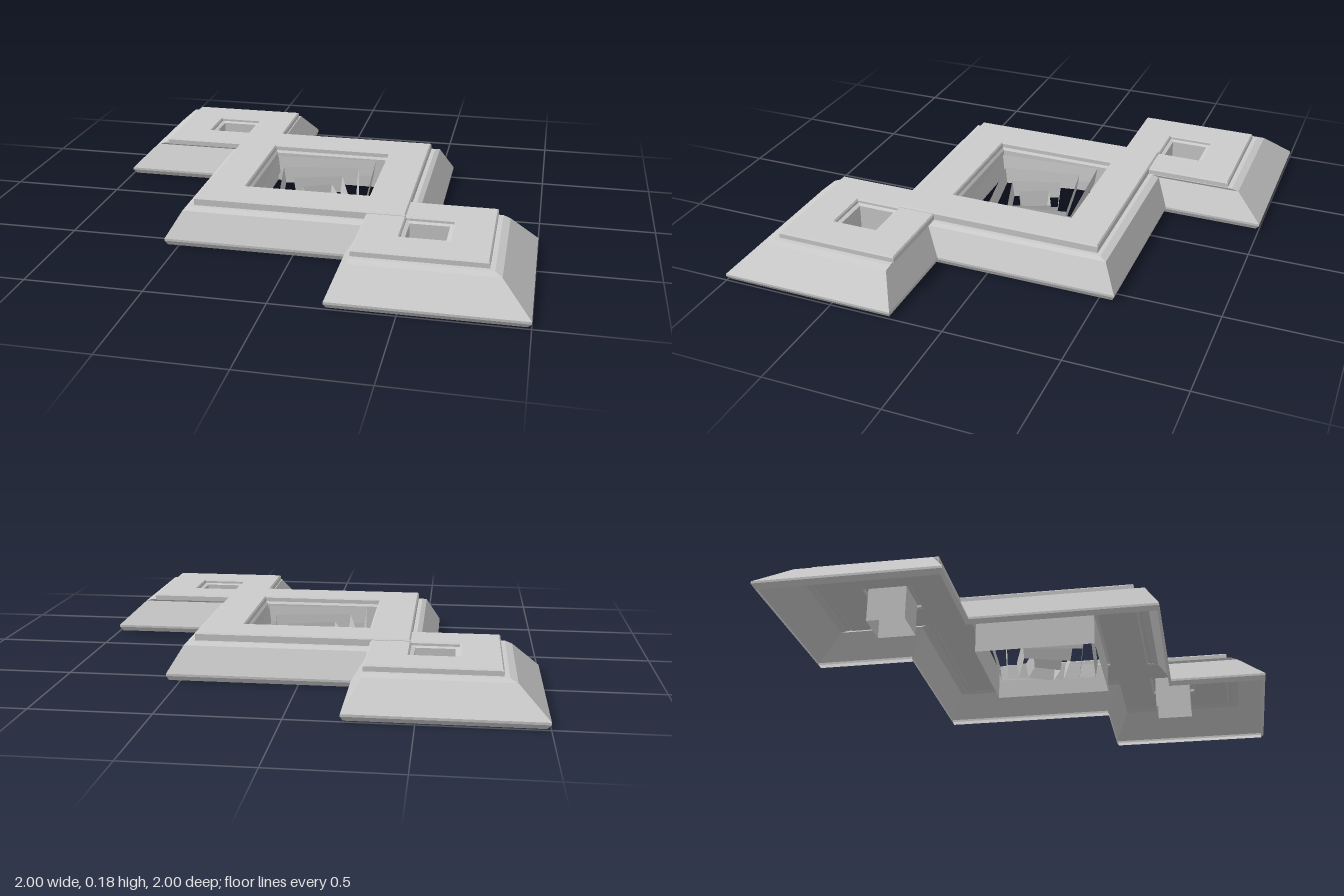
import * as THREE from 'three';

const mat = new THREE.MeshStandardMaterial({ color: 0xcccccc, flatShading: true, side: THREE.DoubleSide });

// Skins a series of closed loops of [x, y, z] points
function loft(loops) {
  const pos = [];
  for (let i = 0; i < loops.length - 1; i++) {
    const a = loops[i], b = loops[i + 1], n = a.length;
    for (let j = 0; j < n; j++) {
      const k = (j + 1) % n;
      pos.push(...a[j], ...a[k], ...b[k], ...a[j], ...b[k], ...b[j]);
    }
  }
  const g = new THREE.BufferGeometry();
  g.setAttribute('position', new THREE.Float32BufferAttribute(pos, 3));
  g.computeVertexNormals();
  return g;
}

// Square loop of half-width r at height y, turned by an angle
function square(r, y, turn = 0, cx = 0, cz = 0) {
  const c = Math.cos(turn), s = Math.sin(turn);
  return [[-r, -r], [r, -r], [r, r], [-r, r]].map(([x, z]) => [cx + x * c - z * s, y, cz + x * s + z * c]);
}

// Stepped outline: half the corners, repeated by a half turn
function outline(half, y) {
  return [...half, ...half.map(([x, z]) => [-x, -z])].map(([x, z]) => [x, y, z]);
}

const toPath = (loop, Type = THREE.Path) => new Type(loop.map(([x, , z]) => new THREE.Vector2(x, z)));

export function createModel() {
  const model = new THREE.Group();
  const add = (name, geometry, parent = model) => {
    const mesh = new THREE.Mesh(geometry, mat);
    mesh.name = name;
    parent.add(mesh);
  };

  const C = -0.56;        // centre of the corner squares
  const wellR = 0.1, courtR = 0.275;

  // Sloping skirt around the three joined squares
  const top = outline([[-0.85, -0.85], [-0.285, -0.85], [-0.285, -0.475], [0.475, -0.475], [0.475, 0.295], [0.85, 0.295]], 0.15);
  const shoulder = outline([[-0.88, -0.88], [-0.29, -0.88], [-0.29, -0.505], [0.495, -0.505], [0.495, 0.3], [0.88, 0.3]], 0.14);
  const rim = [[-1, -1], [-0.22, -1], [-0.22, -0.565], [0.56, -0.565], [0.56, 0.23], [1, 0.23]];
  const foot = [[-0.985, -0.985], [-0.23, -0.985], [-0.23, -0.555], [0.55, -0.555], [0.55, 0.24], [0.985, 0.24]];
  add('skirt', loft([top, shoulder, outline(rim, 0.03), outline(rim, 0.02), outline(foot, 0)]));

  // Deck with a central opening and two small ones
  const deck = toPath(top, THREE.Shape);
  deck.holes = [square(courtR, 0), square(wellR, 0, 0, C, C), square(wellR, 0, 0, -C, -C)].map(l => toPath(l));
  add('deck', new THREE.ShapeGeometry(deck).rotateX(Math.PI / 2).translate(0, 0.15, 0));

  // Raised square frame with a narrow bevel
  const frame = (r, hole, y) => {
    const b = 0.006;
    const shape = toPath(square(r - b, 0), THREE.Shape);
    shape.holes.push(toPath(square(hole + b, 0)));
    return new THREE.ExtrudeGeometry(shape, {
      depth: y - 0.148 - b, bevelEnabled: true, bevelSize: b, bevelThickness: b, bevelSegments: 1,
    }).rotateX(Math.PI / 2).translate(0, y - b, 0);
  };
  add('centreFrame', frame(0.457, courtR, 0.184));

  // Corner frames and their wells
  for (const [side, s] of [['right', 1], ['left', -1]]) {
    const corner = new THREE.Group();
    corner.name = side + 'Corner';
    corner.position.set(C * s, 0, C * s);
    model.add(corner);
    add('cornerFrame', frame(0.27, wellR, 0.176), corner);
    add('well', loft([square(0.083, 0.005), square(0.083, 0.155), square(wellR, 0.16)]), corner);
  }

  // Walls of the central opening
  add('courtWall', loft([square(0.265, 0.01), square(0.265, 0.15), square(courtR, 0.16)]));

  // Twisting open rings stepping down into the opening, each overlapping the next in height
  [[0.235, -4], [0.178, -10], [0.115, -17], [0.07, -24]].forEach(([r, deg], i) => {
    const turn = THREE.MathUtils.degToRad(deg), y = 0.15 - i * 0.025;
    add('ring' + (i + 1), loft([square(r - 0.01, y - 0.075, turn), square(r, y, turn)]));
  });

  return model;
}
